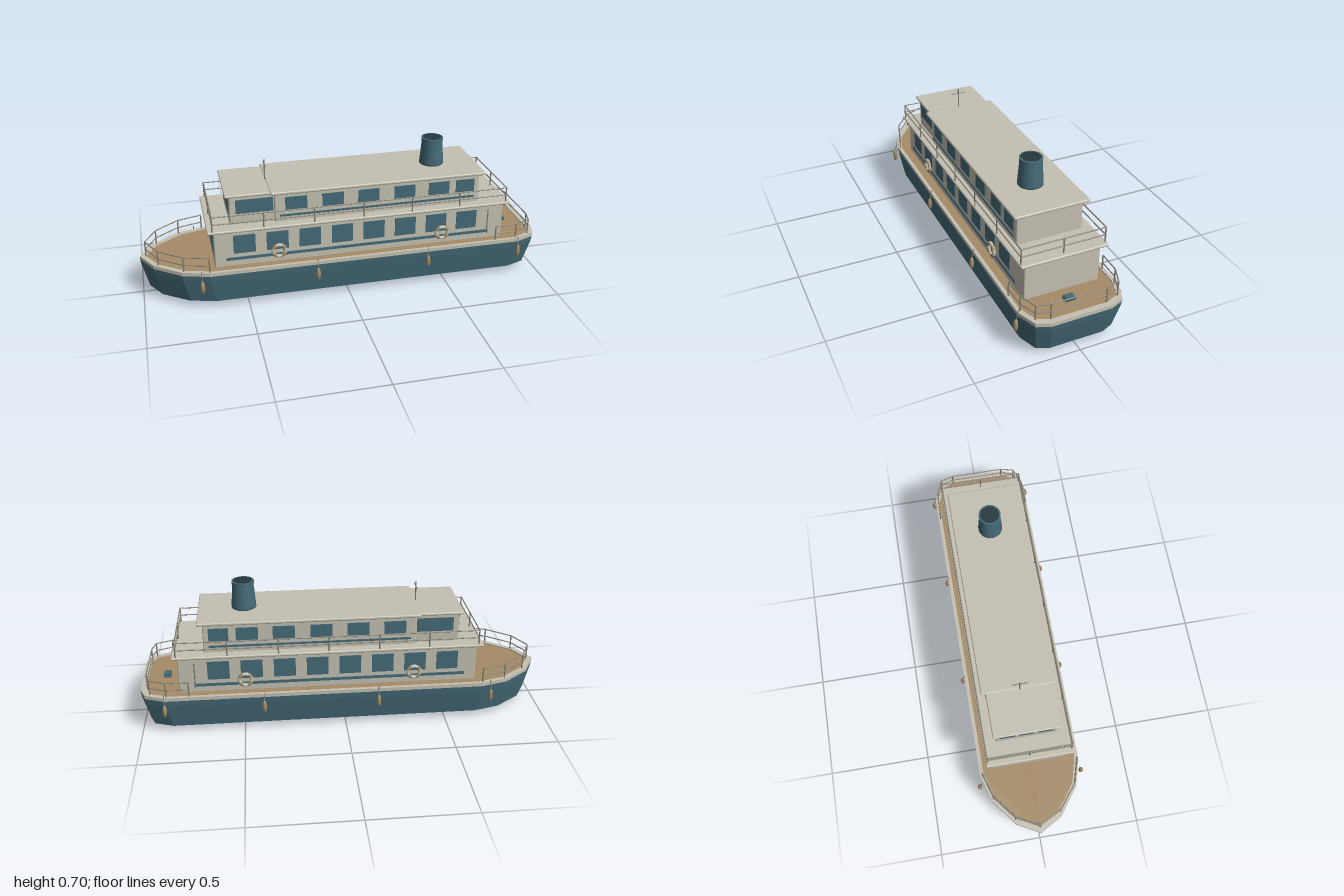
import * as THREE from 'three';
import { RoundedBoxGeometry } from 'three/addons/geometries/RoundedBoxGeometry.js';

const mat = (name, color, extra = {}) => {
  const m = new THREE.MeshStandardMaterial({ color, ...extra });
  m.name = name;
  return m;
};

// Plan outline, bow at -x, running along +z to the stern and back
const half = [[-0.94, 0.11], [-0.81, 0.21], [-0.68, 0.247], [0.88, 0.247], [0.975, 0.21], [1, 0.145]];
const outline = [[-1, 0], ...half, ...half.map(([x, z]) => [x, -z]).reverse()];

function hullGeometry() {
  // height, length scale, beam scale
  const levels = [[0, 0.86, 0.68], [0.03, 0.965, 0.9], [0.15, 0.995, 0.985], [0.182, 1, 1]];
  const n = outline.length, pos = [], idx = [];
  for (const [y, sx, sz] of levels) for (const [x, z] of outline) pos.push(x * sx, y, z * sz);
  for (let l = 0; l < levels.length - 1; l++) {
    for (let i = 0; i < n; i++) {
      const j = (i + 1) % n, a = l * n + i, b = l * n + j;
      idx.push(a, b, b + n, a, b + n, a + n);
    }
  }
  pos.push(0, 0, 0);
  for (let i = 0; i < n; i++) idx.push(levels.length * n, (i + 1) % n, i);
  const g = new THREE.BufferGeometry();
  g.setAttribute('position', new THREE.Float32BufferAttribute(pos, 3));
  g.setIndex(idx);
  const flat = g.toNonIndexed();
  flat.computeVertexNormals();
  return flat;
}

const planPoints = (sx, sz) => outline.map(([x, z]) => new THREE.Vector2(x * sx, -z * sz));

export function createModel() {
  const model = new THREE.Group();
  model.name = 'riverBoat';
  const blue = mat('hullBlue', 0x456b78);
  const cream = mat('cream', 0xc4c0b2);
  const tan = mat('deckTan', 0xa68c68);
  const grey = mat('railGrey', 0x8c877b);
  const dark = mat('darkOpening', 0x26383e);

  const add = (name, geo, m, x = 0, y = 0, z = 0, parent = model) => {
    const mesh = new THREE.Mesh(geo, m);
    mesh.name = name;
    mesh.position.set(x, y, z);
    parent.add(mesh);
    return mesh;
  };
  // Box given by its limits in x and y and its half width in z
  const block = (name, m, x0, x1, y0, y1, hz, r = 0.006) =>
    add(name, new RoundedBoxGeometry(x1 - x0, y1 - y0, hz * 2, 2, r), m, (x0 + x1) / 2, (y0 + y1) / 2, 0);
  const plate = (name, m, w, h, d, x, y, z) => add(name, new THREE.BoxGeometry(w, h, d), m, x, y, z);
  const rod = (name, a, b, r, m, parent = model) => {
    const p = new THREE.Vector3(...a), q = new THREE.Vector3(...b), d = q.clone().sub(p);
    const mesh = add(name, new THREE.CylinderGeometry(r, r, d.length(), 8), m, 0, 0, 0, parent);
    mesh.position.copy(p).add(q).multiplyScalar(0.5);
    mesh.quaternion.setFromUnitVectors(new THREE.Vector3(0, 1, 0), d.normalize());
  };
  // Railing with a post at each plan point, a top rail and a middle rail
  const railing = (name, pts, y0, y1, closed = false) => {
    const g = new THREE.Group();
    g.name = name;
    model.add(g);
    pts.forEach(([x, z], i) => {
      rod('railPost', [x, y0, z], [x, y1, z], 0.0035, grey, g);
      if (i === pts.length - 1 && !closed) return;
      const [u, w] = pts[(i + 1) % pts.length];
      for (const y of [y1, (y0 + y1) / 2]) rod('rail', [x, y, z], [u, y, w], 0.003, grey, g);
    });
  };

  // Hull, gunwale and deck
  add('hull', hullGeometry(), blue);
  const rim = new THREE.Shape(planPoints(1, 1));
  rim.holes.push(new THREE.Path(planPoints(0.972, 0.93).reverse()));
  const rimGeo = new THREE.ExtrudeGeometry(rim, { depth: 0.018, bevelEnabled: false });
  add('gunwale', rimGeo.rotateX(-Math.PI / 2), cream, 0, 0.182, 0);
  const deckGeo = new THREE.ShapeGeometry(new THREE.Shape(planPoints(0.985, 0.97)));
  add('deck', deckGeo.rotateX(-Math.PI / 2), tan, 0, 0.194, 0);

  // Cabins and roofs
  block('lowerCabin', cream, -0.65, 0.81, 0.19, 0.385, 0.185);
  block('lowerRoof', cream, -0.68, 0.835, 0.381, 0.395, 0.212);
  block('upperCabin', cream, -0.35, 0.68, 0.39, 0.545, 0.162);
  block('wheelhouse', cream, -0.565, -0.34, 0.39, 0.545, 0.148);
  block('upperRoof', cream, -0.37, 0.705, 0.541, 0.556, 0.184);
  block('wheelhouseRoof', cream, -0.585, -0.36, 0.539, 0.552, 0.163);

  // Side windows, stripes, doors, life rings and fenders
  for (const s of [1, -1]) {
    for (let i = 0; i < 8; i++) plate('lowerWindow', blue, 0.106, 0.095, 0.006, -0.505 + i * 0.16, 0.308, s * 0.186);
    plate('lowerStripe', blue, 1.33, 0.014, 0.006, 0.07, 0.232, s * 0.186);
    [-0.246, -0.066, 0.112, 0.294, 0.47, 0.606].forEach((x, i) =>
      plate('upperWindow', blue, i < 5 ? 0.106 : 0.095, 0.07, 0.006, x, 0.484, s * 0.163));
    plate('upperStripe', blue, 0.98, 0.01, 0.006, 0.165, 0.425, s * 0.163);
    plate('wheelhouseWindow', blue, 0.18, 0.07, 0.006, -0.445, 0.486, s * 0.149);
    rod('doorRail', [0.73, 0.22, s * 0.188], [0.73, 0.35, s * 0.188], 0.003, grey);

    for (const x of [-0.34, 0.487]) {
      const ring = new THREE.Group();
      ring.name = 'lifeRing';
      ring.position.set(x, 0.254, s * 0.194);
      model.add(ring);
      add('ringBody', new THREE.TorusGeometry(0.03, 0.0085, 10, 32), cream, 0, 0, 0, ring);
      for (let k = 0; k < 4; k++) {
        const band = add('ringBand', new THREE.TorusGeometry(0.03, 0.0092, 10, 8, 0.7), tan, 0, 0, 0, ring);
        band.rotation.z = k * Math.PI / 2 + 0.435;
      }
    }
    for (const x of [-0.72, -0.16, 0.4, 0.88]) {
      const fender = add('fender', new THREE.SphereGeometry(0.011, 12, 10), tan, x, 0.134, s * 0.256);
      fender.scale.y = 3;
      rod('fenderRope', [x, 0.16, s * 0.256], [x, 0.212, s * 0.243], 0.002, grey);
    }
  }

  // Forward windows of both cabins
  for (const z of [-1, 0, 1]) {
    plate('lowerFrontWindow', blue, 0.006, 0.095, 0.085, -0.651, 0.308, z * 0.112);
    plate('wheelhouseFrontWindow', blue, 0.006, 0.07, 0.075, -0.566, 0.486, z * 0.092);
  }

  // Railings on the upper deck, the bow and the stern
  const side = Array.from({ length: 7 }, (_, i) => [-0.655 + i * 0.2445, 0.204]);
  const port = side.map(([x, z]) => [x, -z]).reverse();
  railing('upperDeckRailing', [...side, [0.812, 0], ...port, [-0.655, 0]], 0.393, 0.47, true);
  const bow = [[-0.68, 0.235], [-0.8, 0.2], [-0.915, 0.11]];
  railing('bowRailing', [...bow, [-0.97, 0], ...bow.map(([x, z]) => [x, -z]).reverse()], 0.195, 0.275);
  const stern = [[0.76, 0.235], [0.87, 0.232], [0.95, 0.2], [0.967, 0.135]];
  railing('sternRailing', [...stern, ...stern.map(([x, z]) => [x, -z]).reverse()], 0.195, 0.275);

  // Funnel
  const profile = [[0.054, 0], [0.06, 0.004], [0.06, 0.012], [0.0515, 0.125]];
  add('funnel', new THREE.LatheGeometry(profile.map(p => new THREE.Vector2(...p)), 32), blue, 0.48, 0.555, 0);
  add('funnelCap', new THREE.CylinderGeometry(0.054, 0.054, 0.014, 32), blue, 0.48, 0.687, 0);
  add('funnelMouth', new THREE.CircleGeometry(0.046, 32).rotateX(-Math.PI / 2), dark, 0.48, 0.6955, 0);

  // Mast and stern hatch
  rod('mast', [-0.37, 0.55, 0], [-0.37, 0.655, 0], 0.003, grey);
  rod('mastCrossbar', [-0.37, 0.63, -0.038], [-0.37, 0.63, 0.038], 0.0025, grey);
  plate('sternHatch', blue, 0.036, 0.012, 0.05, 0.88, 0.2, 0);
  plate('hatchLid', blue, 0.028, 0.007, 0.04, 0.88, 0.209, 0);

  return model;
}
